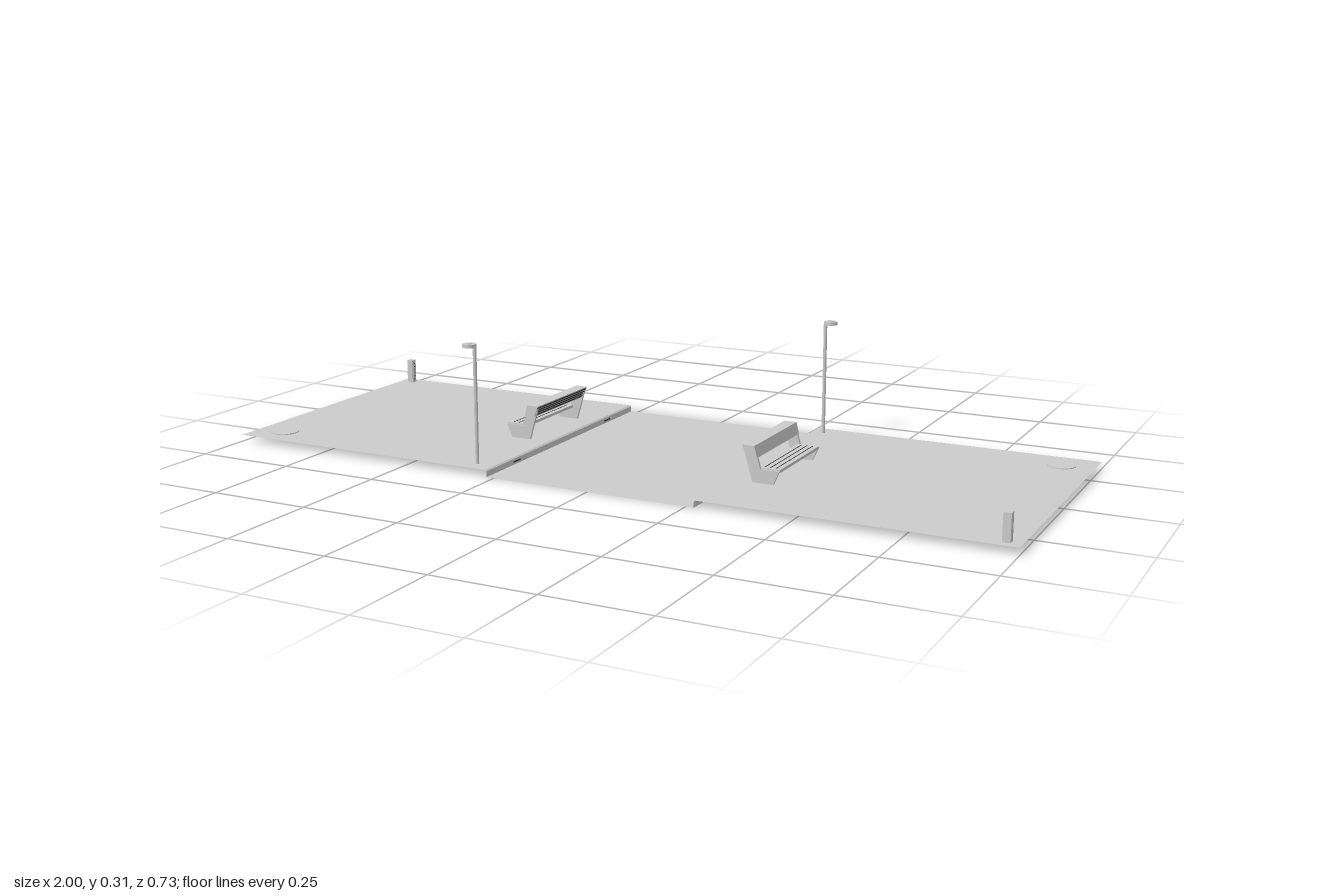
import * as THREE from 'three';

const grey = new THREE.MeshStandardMaterial({ color: 0xcccccc, side: THREE.DoubleSide });
grey.name = 'concrete grey';
const dark = new THREE.MeshStandardMaterial({ color: 0x303030, side: THREE.DoubleSide });
dark.name = 'slot dark';

const HALF_Z = 0.363, KERB_X = 0.27, WALK_Y = 0.017;

function add(parent, name, geometry, material, x = 0, y = 0, z = 0) {
  const mesh = new THREE.Mesh(geometry, material);
  mesh.name = name;
  mesh.position.set(x, y, z);
  parent.add(mesh);
  return mesh;
}

const box = (w, h, d) => new THREE.BoxGeometry(w, h, d);

// Extrude an x,y outline along z, centred on z = 0
function prism(points, depth) {
  const shape = new THREE.Shape(points.map(p => new THREE.Vector2(...p)));
  return new THREE.ExtrudeGeometry(shape, { depth, bevelEnabled: false }).translate(0, 0, -depth / 2);
}

// Horizontal sheet between two x positions
function sheet(x0, x1) {
  return new THREE.PlaneGeometry(x1 - x0, 2 * HALF_Z).rotateX(-Math.PI / 2).translate((x0 + x1) / 2, 0, 0);
}

// Kerb strip: upright face with a small chamfer up to the pavement
function kerbGeometry() {
  const section = [[KERB_X, 0], [KERB_X, 0.014], [KERB_X + 0.004, WALK_Y]];
  const pos = [], index = [];
  section.forEach(([x, y]) => pos.push(x, y, HALF_Z, x, y, -HALF_Z));
  for (let i = 0; i < 2; i++) {
    const a = 2 * i;
    index.push(a, a + 2, a + 1, a + 1, a + 2, a + 3);
  }
  const g = new THREE.BufferGeometry();
  g.setAttribute('position', new THREE.Float32BufferAttribute(pos, 3));
  g.setIndex(index);
  const flat = g.toNonIndexed();
  flat.computeVertexNormals();
  return flat;
}

// Bench with its back towards the road
function bench() {
  const g = new THREE.Group();
  g.name = 'bench';
  const side = [[0.328, 0.012], [0.376, 0.012], [0.393, 0.05], [0.346, 0.05], [0.331, 0.102], [0.302, 0.102]];
  for (const s of [-1, 1]) add(g, 'benchEndPanel', prism(side, 0.006), grey, 0, 0, s * 0.119);
  add(g, 'benchSeat', box(0.054, 0.007, 0.236), grey, 0.366, 0.0495, 0);
  for (const x of [0.352, 0.366, 0.38]) add(g, 'seatSlot', box(0.002, 0.001, 0.22), dark, x, 0.0531, 0);
  // Sloping backrest band, open below
  add(g, 'benchBackrest', prism([[0.313, 0.076], [0.339, 0.076], [0.332, 0.104], [0.301, 0.104]], 0.25), grey);
  for (let i = 0; i < 4; i++) {
    const y = 0.081 + i * 0.006;
    add(g, 'backrestGroove', box(0.002, 0.003, 0.244), dark, 0.313 - (y - 0.076) * 0.43, y, 0);
  }
  return g;
}

// Street lamp with a round head set to one side of the post
function lamp(x, z) {
  const g = new THREE.Group();
  g.name = 'streetLamp';
  add(g, 'lampPost', new THREE.CylinderGeometry(0.0045, 0.0045, 0.289, 12), grey, 0, 0.1575, 0);
  add(g, 'lampHead', new THREE.CylinderGeometry(0.017, 0.017, 0.008, 24), grey, 0.014, 0.302, 0);
  add(g, 'lampLens', new THREE.CylinderGeometry(0.008, 0.008, 0.002, 16), grey, 0.014, 0.3065, 0);
  g.position.set(x, 0, z);
  return g;
}

// Small service post with a slotted panel facing the road
function servicePost() {
  const g = new THREE.Group();
  g.name = 'servicePost';
  add(g, 'postBody', box(0.017, 0.067, 0.017), grey, 0, 0.0475, 0);
  add(g, 'postPanel', box(0.002, 0.058, 0.012), grey, -0.009, 0.0475, 0);
  for (let i = 0; i < 6; i++) add(g, 'panelSlot', box(0.001, 0.002, 0.004), dark, -0.0102, 0.026 + i * 0.009, 0);
  g.position.set(0.967, 0, 0.335);
  return g;
}

// One pavement with its furniture, on the +x side
function pavement(lampX) {
  const g = new THREE.Group();
  g.name = 'pavement';
  add(g, 'pavementSlab', sheet(KERB_X + 0.004, 1), grey, 0, WALK_Y, 0);
  add(g, 'kerb', kerbGeometry(), grey);
  for (const z of [-0.227, 0.227]) add(g, 'drainSlot', box(0.002, 0.003, 0.03), dark, KERB_X, 0.007, z);
  add(g, 'manholeCover', new THREE.CylinderGeometry(0.034, 0.034, 0.005, 32), grey, 0.922, 0.0165, -0.289);
  const seat = bench();
  seat.position.z = 0.051;
  g.add(seat, lamp(lampX, -0.322), servicePost());
  return g;
}

export function createModel() {
  const model = new THREE.Group();
  model.name = 'streetSection';
  add(model, 'road', sheet(-KERB_X, KERB_X), grey);
  const left = pavement(0.304);
  const right = pavement(0.321);
  right.rotation.y = Math.PI;
  model.add(left, right);
  return model;
}
